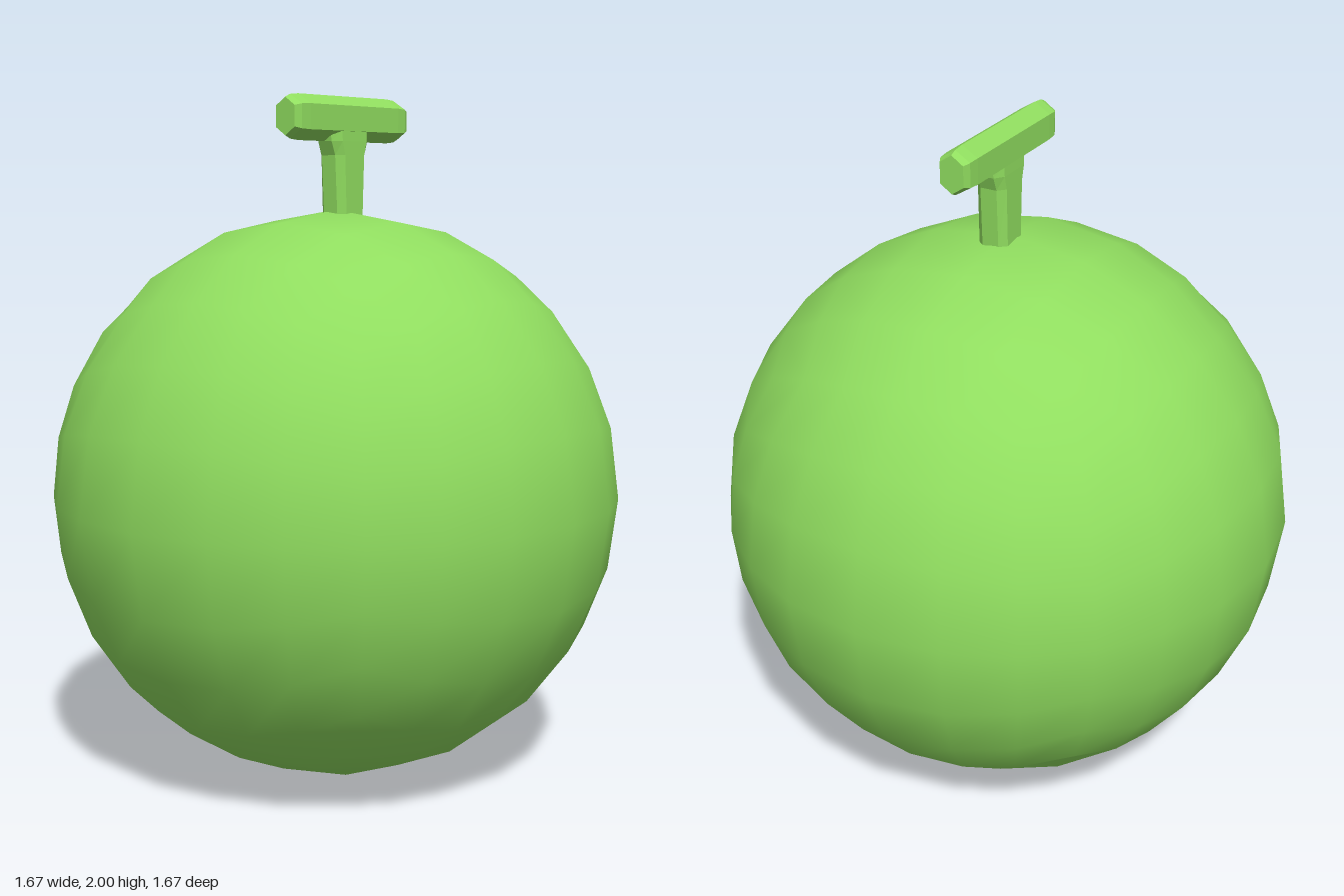
import * as THREE from 'three';

const green = new THREE.MeshStandardMaterial({ color: 0x90dd5f });
green.name = 'leafGreen';
const greenFaceted = green.clone();
greenFaceted.flatShading = true;

// Sphere made from a 6 x 6 x 6 cube grid, smooth shaded
function cubeSphere(radius) {
  const geo = new THREE.BoxGeometry(2, 2, 2, 6, 6, 6);
  const steps = [0, 0.3, 0.6, 1];
  const pos = geo.attributes.position, nor = geo.attributes.normal;
  const v = new THREE.Vector3();
  const warp = (c) => Math.sign(c) * steps[Math.round(Math.abs(c) * 3)];
  for (let i = 0; i < pos.count; i++) {
    v.set(warp(pos.getX(i)), warp(pos.getY(i)), warp(pos.getZ(i))).normalize();
    nor.setXYZ(i, v.x, v.y, v.z);
    pos.setXYZ(i, v.x * radius, v.y * radius, v.z * radius);
  }
  return geo;
}

// Closed loft along y: profile of [x, z] points, sections of [y, scaleX, scaleZ]
function loft(profile, sections) {
  const out = [], n = profile.length;
  const pt = ([y, sx, sz], j) => [profile[j % n][0] * sx, y, profile[j % n][1] * sz];
  const tri = (a, b, c) => out.push(...a, ...b, ...c);
  const first = sections[0], last = sections[sections.length - 1];
  for (let j = 0; j < n; j++) {
    for (let i = 0; i < sections.length - 1; i++) {
      const a = pt(sections[i], j), b = pt(sections[i], j + 1);
      const c = pt(sections[i + 1], j + 1), d = pt(sections[i + 1], j);
      tri(a, b, c);
      tri(a, c, d);
    }
    tri([0, last[0], 0], pt(last, j), pt(last, j + 1));
    tri([0, first[0], 0], pt(first, j + 1), pt(first, j));
  }
  const geo = new THREE.BufferGeometry();
  geo.setAttribute('position', new THREE.Float32BufferAttribute(out, 3));
  geo.computeVertexNormals();
  return geo;
}

export function createModel() {
  const model = new THREE.Group();
  model.name = 'melon';
  const add = (name, geo, mat, x, y, z) => {
    const mesh = new THREE.Mesh(geo, mat);
    mesh.name = name;
    mesh.position.set(x, y, z);
    model.add(mesh);
  };

  // Round fruit
  add('fruit', cubeSphere(0.837), green, 0, 0.837, 0);

  // Upright stem, flaring into the crossbar
  const stemProfile = [
    [-0.04, 0.045], [0.04, 0.045], [0.06, 0.025], [0.06, -0.025],
    [0.04, -0.045], [-0.04, -0.045], [-0.06, -0.025], [-0.06, 0.025],
  ];
  const stem = loft(stemProfile, [[1.58, 0.9, 1], [1.66, 0.92, 1], [1.83, 1.08, 1], [1.87, 1.35, 1], [1.9, 1.4, 0.98]]);
  add('stem', stem, greenFaceted, 0.015, 0, 0.015);

  // Six-sided crossbar with slightly tapered ends
  const barProfile = [
    [-0.036, 0.047], [0.036, 0.047], [0.065, 0],
    [0.036, -0.047], [-0.036, -0.047], [-0.065, 0],
  ];
  const bar = loft(barProfile, [[-0.255, 0.82, 0.75], [-0.235, 0.95, 0.95], [-0.2, 1, 1], [0.2, 1, 1], [0.235, 0.95, 0.95], [0.255, 0.82, 0.75]]);
  bar.rotateZ(-Math.PI / 2);
  add('crossbar', bar, greenFaceted, 0.02, 1.935, 0.013);

  return model;
}
